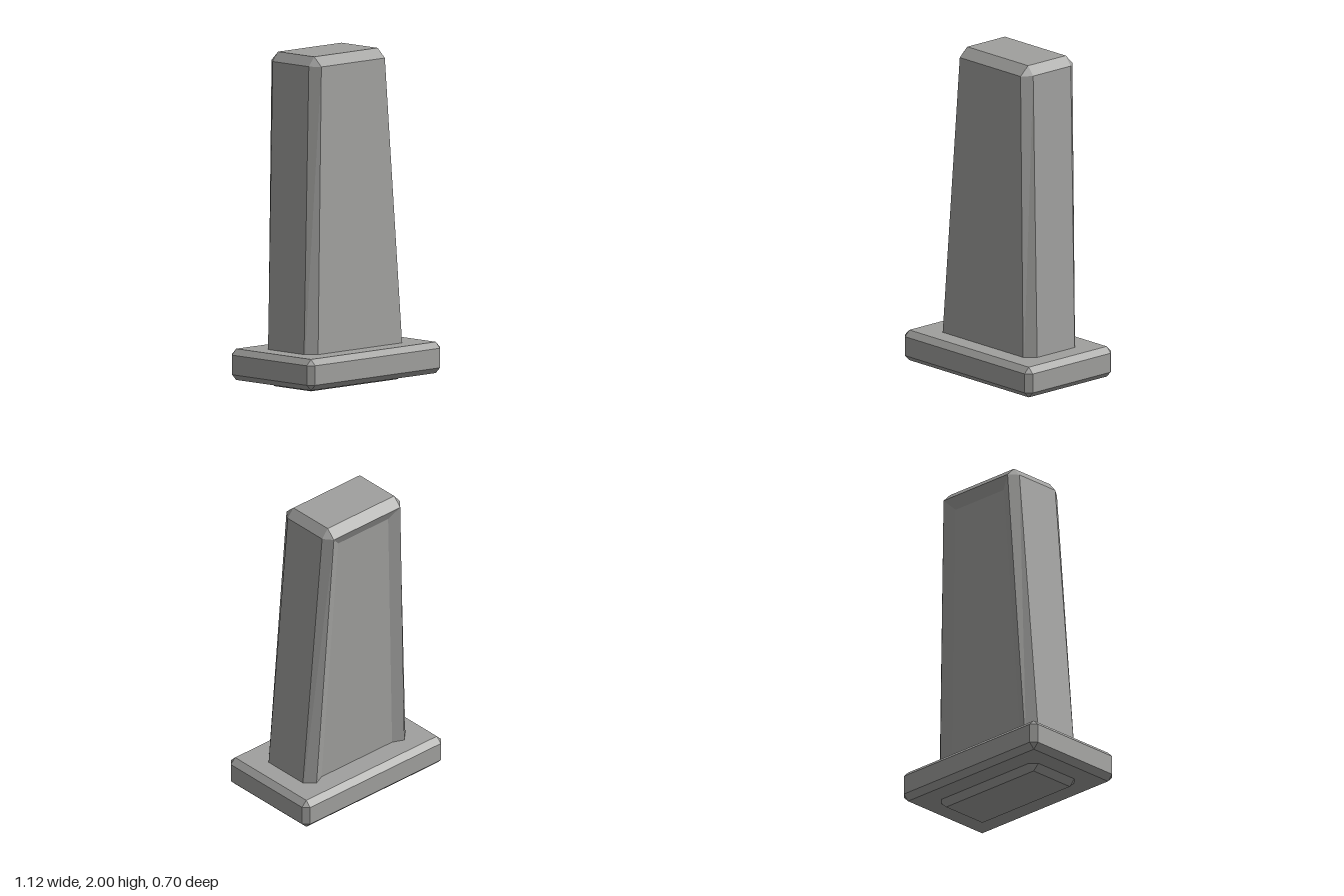
import * as THREE from 'three';

// Octagonal ring: a rectangle with cut corners (inner and outer extents).
// Starts at front left and runs counter-clockwise seen from above.
function ring(y, ix, ox, zFront, zFrontIn, zBackIn, zBack) {
  return [
    [-ix, zFront], [ix, zFront], [ox, zFrontIn], [ox, zBackIn],
    [ix, zBack], [-ix, zBack], [-ox, zBackIn], [-ox, zFrontIn],
  ].map(([x, z]) => new THREE.Vector3(x, y, z));
}

const BACK = 4; // index of the back side in a ring

// Chamfered block from stacked rings, with an optional sunken back panel.
function chamferedBlock(rings, recess) {
  const positions = [];
  const tri = (...points) => {
    const [a, b, c] = points;
    if (a.equals(b) || b.equals(c) || c.equals(a)) return;
    points.forEach((p) => positions.push(p.x, p.y, p.z));
  };
  const quad = (a, b, c, d) => { tri(a, b, c); tri(a, c, d); };

  for (let r = 0; r < rings.length - 1; r++) {
    for (let i = 0; i < 8; i++) {
      const j = (i + 1) % 8;
      const corners = [rings[r][i], rings[r][j], rings[r + 1][j], rings[r + 1][i]];
      if (recess && r === 1 && i === BACK) {
        // Inset the face towards its middle and push it forward
        const [b0, b1, t1, t0] = corners;
        const { inset, depth } = recess;
        const height = t0.y - b0.y;
        const inner = corners.map((p) => {
          const q = p.clone();
          const lower = p === b0 || p === b1;
          const slide = (lower ? 1 : -1) * inset;
          q.y += slide;
          q.x += ((t0.x - b0.x) * Math.sign(p.x) * slide) / height - Math.sign(p.x) * inset;
          q.z += ((t0.z - b0.z) * slide) / height + depth;
          return q;
        });
        for (let k = 0; k < 4; k++) {
          const n = (k + 1) % 4;
          quad(corners[k], corners[n], inner[n], inner[k]);
        }
        quad(...inner);
      } else {
        quad(...corners);
      }
    }
  }

  // Top and bottom caps
  const top = rings[rings.length - 1];
  const bottom = rings[0];
  for (let i = 1; i < 7; i++) {
    tri(top[0], top[i], top[i + 1]);
    tri(bottom[0], bottom[i + 1], bottom[i]);
  }

  const geometry = new THREE.BufferGeometry();
  geometry.setAttribute('position', new THREE.Float32BufferAttribute(positions, 3));
  geometry.computeVertexNormals();
  return geometry;
}

export function createModel() {
  const group = new THREE.Group();
  group.name = 'pillarOnPlinth';

  const stone = new THREE.MeshStandardMaterial({ color: 0xa0a09e });
  stone.name = 'grey stone';

  const add = (name, geometry) => {
    const mesh = new THREE.Mesh(geometry, stone);
    mesh.name = name;
    group.add(mesh);
  };

  // Plinth: flat slab with chamfered edges
  const x = 0.56, z = 0.352, c = 0.035;
  const slabRect = (y) => ring(y, x - c, x - c, z - c, z - c, c - z, c - z);
  const slabOct = (y) => ring(y, x - c, x, z, z - c, c - z, -z);
  add('plinth', chamferedBlock([
    slabRect(0.037), slabOct(0.072), slabOct(0.19), slabRect(0.225),
  ]));

  // Pillar: tapers upward, leans back, passes through the plinth
  add('pillar', chamferedBlock([
    ring(0, 0.365, 0.365, 0.155, 0.155, -0.155, -0.155),
    ring(0.052, 0.362, 0.422, 0.21, 0.15, -0.155, -0.212),
    ring(1.945, 0.267, 0.312, 0.145, 0.084, -0.222, -0.277),
    ring(2, 0.267, 0.267, 0.084, 0.084, -0.222, -0.222),
  ], { inset: 0.07, depth: 0.032 }));

  return group;
}
